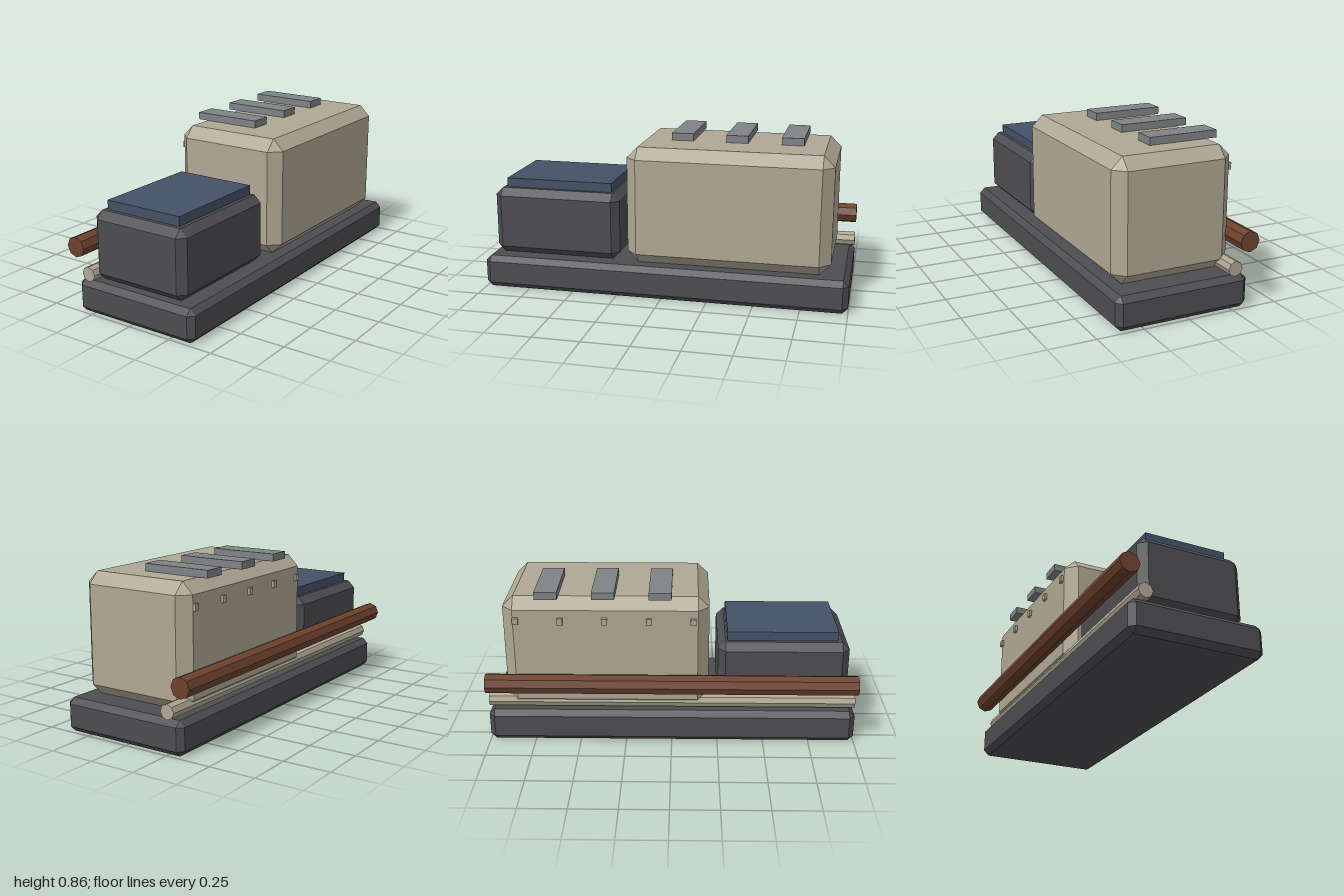
import * as THREE from 'three';
import { ConvexGeometry } from 'three/addons/geometries/ConvexGeometry.js';

const CX = 0.0265; // shared centre line of the stacked blocks

function material(name, color) {
  const m = new THREE.MeshStandardMaterial({ color, flatShading: true });
  m.name = name;
  return m;
}

// Box with every edge cut back by c: each corner becomes a small triangle
function chamferedBox(w, h, d, c) {
  const half = [w / 2, h / 2, d / 2];
  const points = [];
  for (const sx of [-1, 1]) for (const sy of [-1, 1]) for (const sz of [-1, 1]) {
    for (let axis = 0; axis < 3; axis++) {
      const p = half.map((v, i) => (i === axis ? v : v - c));
      points.push(new THREE.Vector3(p[0] * sx, p[1] * sy, p[2] * sz));
    }
  }
  return new ConvexGeometry(points);
}

export function createModel() {
  const model = new THREE.Group();
  model.name = 'machine';

  const dark = material('charcoal', 0x4e4d51);
  const beige = material('beige', 0xb0a894);
  const blue = material('slate blue', 0x445267);
  const grey = material('grey', 0x808386);
  const rust = material('rust brown', 0x6e422e);

  const add = (name, geometry, mat, x, y, z) => {
    const mesh = new THREE.Mesh(geometry, mat);
    mesh.name = name;
    mesh.position.set(x, y, z);
    model.add(mesh);
    return mesh;
  };

  // Main blocks
  add('base', chamferedBox(0.73, 0.18, 2, 0.03), dark, CX, 0.09, 0);
  add('body', chamferedBox(0.65, 0.64, 1.1, 0.06), beige, CX, 0.5, -0.35);
  add('frontBlock', chamferedBox(0.57, 0.37, 0.71, 0.04), dark, CX, 0.365, 0.605);
  add('frontLid', new THREE.BoxGeometry(0.45, 0.05, 0.6), blue, CX, 0.575, 0.6);

  // Slats across the roof
  for (let i = 0; i < 3; i++) {
    add('roofSlat' + (i + 1), new THREE.BoxGeometry(0.38, 0.04, 0.12), grey, -0.109, 0.84, -0.06 - i * 0.3);
  }

  // Row of studs along the right side of the body
  for (let i = 0; i < 5; i++) {
    add('stud' + (i + 1), new THREE.BoxGeometry(0.03, 0.036, 0.03), beige, -0.2985, 0.7, -0.825 + i * 0.235);
  }

  // Eight-sided pipes running the full length
  const pipe = (name, r, mat, x, y) =>
    add(name, new THREE.CylinderGeometry(r, r, 2, 8).rotateX(Math.PI / 2), mat, x, y, 0);
  pipe('largePipe', 0.055, rust, -0.3365, 0.35);
  pipe('smallPipe', 0.04, beige, -0.2575, 0.22);

  return model;
}
